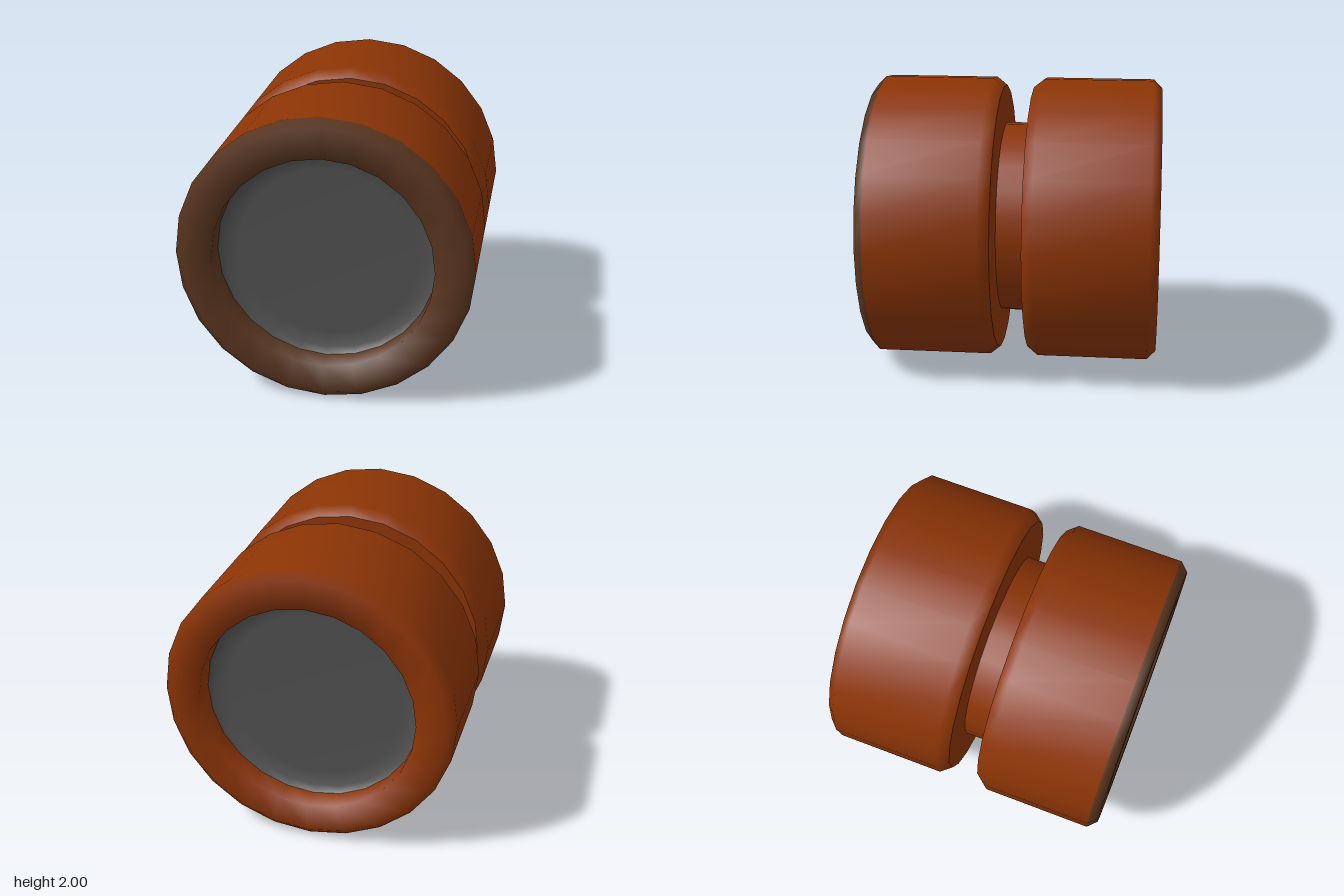
import * as THREE from 'three';
import { mergeVertices } from 'three/addons/utils/BufferGeometryUtils.js';

const SIDES = 24;

function material(name, color) {
  const m = new THREE.MeshStandardMaterial({ color });
  m.name = name;
  return m;
}

// Lathe from [radius, height] pairs, with area-weighted smooth normals
function lathe(points) {
  const geometry = new THREE.LatheGeometry(points.map(([r, h]) => new THREE.Vector2(r, h)), SIDES);
  geometry.deleteAttribute('uv');
  geometry.deleteAttribute('normal');
  const merged = mergeVertices(geometry, 1e-5);
  merged.computeVertexNormals();
  return merged;
}

export function createModel() {
  const orange = material('orange', 0x8b3405);
  const brown = material('brown', 0x5a351f);
  const grey = material('grey', 0x505050);

  const model = new THREE.Group();
  model.name = 'twinWheels';

  // Tyre: shoulder and tread, then the rim turning into the recess
  const tyreProfile = [
    [0.94, 0.105], [1, 0.18], [1, 0.94],
    [0.94, 1], [0.74, 1], [0.74, 0.84],
  ];
  const treadBands = 2;
  const rimBands = 3;

  // Flat side of the groove
  const wallProfile = [[0.6, 0.09], [0.94, 0.105]];

  // Dished disc at the bottom of the recess
  const hubProfile = [[0.74, 0.84], [0.7, 0.805], [0.6, 0.79], [0, 0.79]];

  function wheel(name, rimMaterial) {
    const group = new THREE.Group();
    group.name = name;

    const tyreGeometry = lathe(tyreProfile);
    // Tread and rim share smooth normals but take separate colours
    for (let i = 0; i < SIDES; i++) {
      const start = i * (treadBands + rimBands) * 6;
      tyreGeometry.addGroup(start, treadBands * 6, 0);
      tyreGeometry.addGroup(start + treadBands * 6, rimBands * 6, 1);
    }
    const tyre = new THREE.Mesh(tyreGeometry, [orange, rimMaterial]);
    tyre.name = 'tyre';

    const wall = new THREE.Mesh(lathe(wallProfile), orange);
    wall.name = 'grooveWall';

    const hub = new THREE.Mesh(lathe(hubProfile), grey);
    hub.name = 'hub';

    group.add(tyre, wall, hub);
    return group;
  }

  const front = wheel('frontWheel', brown);
  front.rotation.x = Math.PI / 2;
  const back = wheel('backWheel', orange);
  back.rotation.x = -Math.PI / 2;

  // Core joining the wheels
  const core = new THREE.Mesh(
    new THREE.CylinderGeometry(0.675, 0.675, 0.2, SIDES, 1, true), orange);
  core.name = 'core';
  core.rotation.x = Math.PI / 2;

  for (const part of [front, back, core]) {
    part.position.y = 1;
    model.add(part);
  }
  return model;
}
